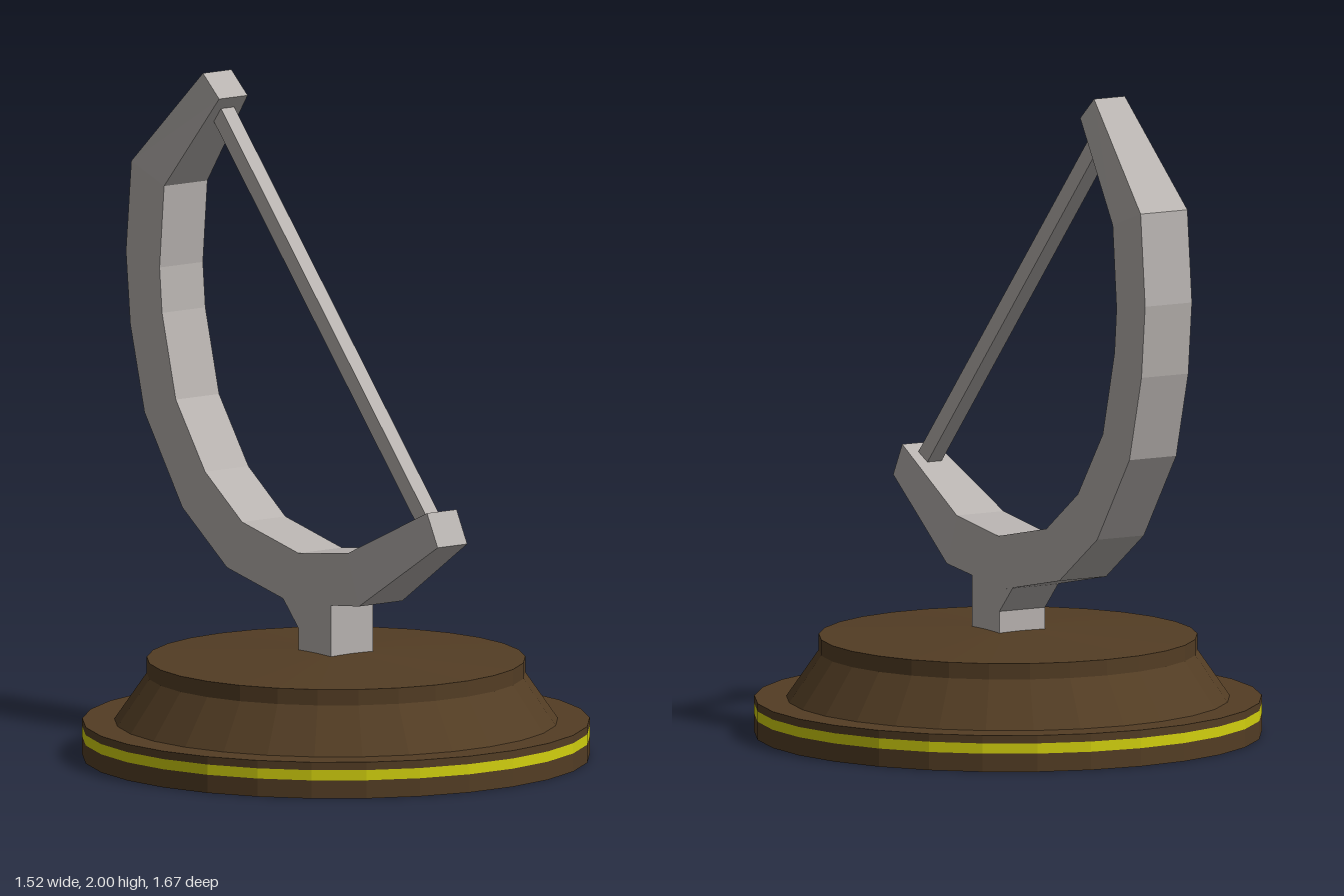
import * as THREE from 'three';

const flat = (name, color) => {
  const m = new THREE.MeshStandardMaterial({ color, flatShading: true });
  m.name = name;
  return m;
};

// Lofts a closed bar through four-cornered sections: [outerZ, outerY, innerZ, innerY, halfWidth]
function loftBar(sections) {
  const pos = [];
  const index = [];
  const quad = (a, b, c, d) => index.push(a, b, c, a, c, d);
  for (const [oz, oy, iz, iy, w] of sections) {
    pos.push(w, oy, oz, -w, oy, oz, -w, iy, iz, w, iy, iz);
  }
  for (let s = 0; s < sections.length - 1; s++) {
    for (let k = 0; k < 4; k++) {
      const a = s * 4 + k;
      const b = s * 4 + ((k + 1) % 4);
      quad(a, b, b + 4, a + 4);
    }
  }
  const e = (sections.length - 1) * 4;
  quad(0, 3, 2, 1);
  quad(e, e + 1, e + 2, e + 3);
  const g = new THREE.BufferGeometry();
  g.setAttribute('position', new THREE.Float32BufferAttribute(pos, 3));
  g.setIndex(index);
  const out = g.toNonIndexed();
  out.computeVertexNormals();
  return out;
}

export function createModel() {
  const model = new THREE.Group();
  model.name = 'bowStatue';
  const brown = flat('brown wood', 0x533d24);
  const yellow = flat('yellow band', 0xd2d00e);
  const grey = flat('grey metal', 0xb8b3b0);

  const add = (parent, name, geometry, material) => {
    const mesh = new THREE.Mesh(geometry, material);
    mesh.name = name;
    parent.add(mesh);
    return mesh;
  };

  // Round stepped base with 29 sides, set slightly forward
  const base = new THREE.Group();
  base.name = 'base';
  base.position.z = 0.083;
  base.rotation.y = Math.PI;
  model.add(base);
  const turned = (name, profile, material) =>
    add(base, name, new THREE.LatheGeometry(profile.map(([r, y]) => new THREE.Vector2(r, y)), 29), material);
  turned('baseFoot', [[0, 0], [0.76, 0], [0.76, 0.055]], brown);
  turned('baseBand', [[0.76, 0.055], [0.76, 0.086]], yellow);
  turned('baseTop', [
    [0.76, 0.086], [0.76, 0.11], [0.664, 0.11], [0.567, 0.25], [0.567, 0.298], [0, 0.326],
  ], brown);

  // Curved bow, from the front tip round the back to the upper tip
  const w = 0.082;
  add(model, 'bowArch', loftBar([
    [0.65, 0.714, 0.598, 0.812, 0.056],
    [0.30, 0.492, 0.243, 0.645, w],
    [-0.02, 0.456, 0.005, 0.614, w],
    [-0.344, 0.524, -0.27, 0.672, w],
    [-0.561, 0.677, -0.45, 0.80, w],
    [-0.746, 0.942, -0.593, 1.0, w],
    [-0.815, 1.2, -0.66, 1.254, w],
    [-0.836, 1.418, -0.672, 1.39, w],
    [-0.81, 1.695, -0.65, 1.64, w],
    [-0.497, 2.0, -0.418, 1.932, 0.054],
  ]), grey);

  // Straight string between the tips
  const low = new THREE.Vector3(0, 0.755, 0.553);
  const high = new THREE.Vector3(0, 1.9, -0.487);
  const string = add(model, 'bowString', new THREE.BoxGeometry(0.05, 0.055, low.distanceTo(high)), grey);
  string.position.copy(low).add(high).multiplyScalar(0.5);
  string.lookAt(high);

  // Post with a sloped bracket at the back
  const outline = [[0.16, 0.31], [0.002, 0.31], [0.002, 0.386], [-0.074, 0.467], [-0.05, 0.5], [0.16, 0.5]];
  const shape = new THREE.Shape(outline.map(([z, y]) => new THREE.Vector2(-z, y)));
  const post = new THREE.ExtrudeGeometry(shape, { depth: 0.16, bevelEnabled: false });
  post.translate(0, 0, -0.08).rotateY(Math.PI / 2);
  add(model, 'post', post, grey);

  return model;
}
